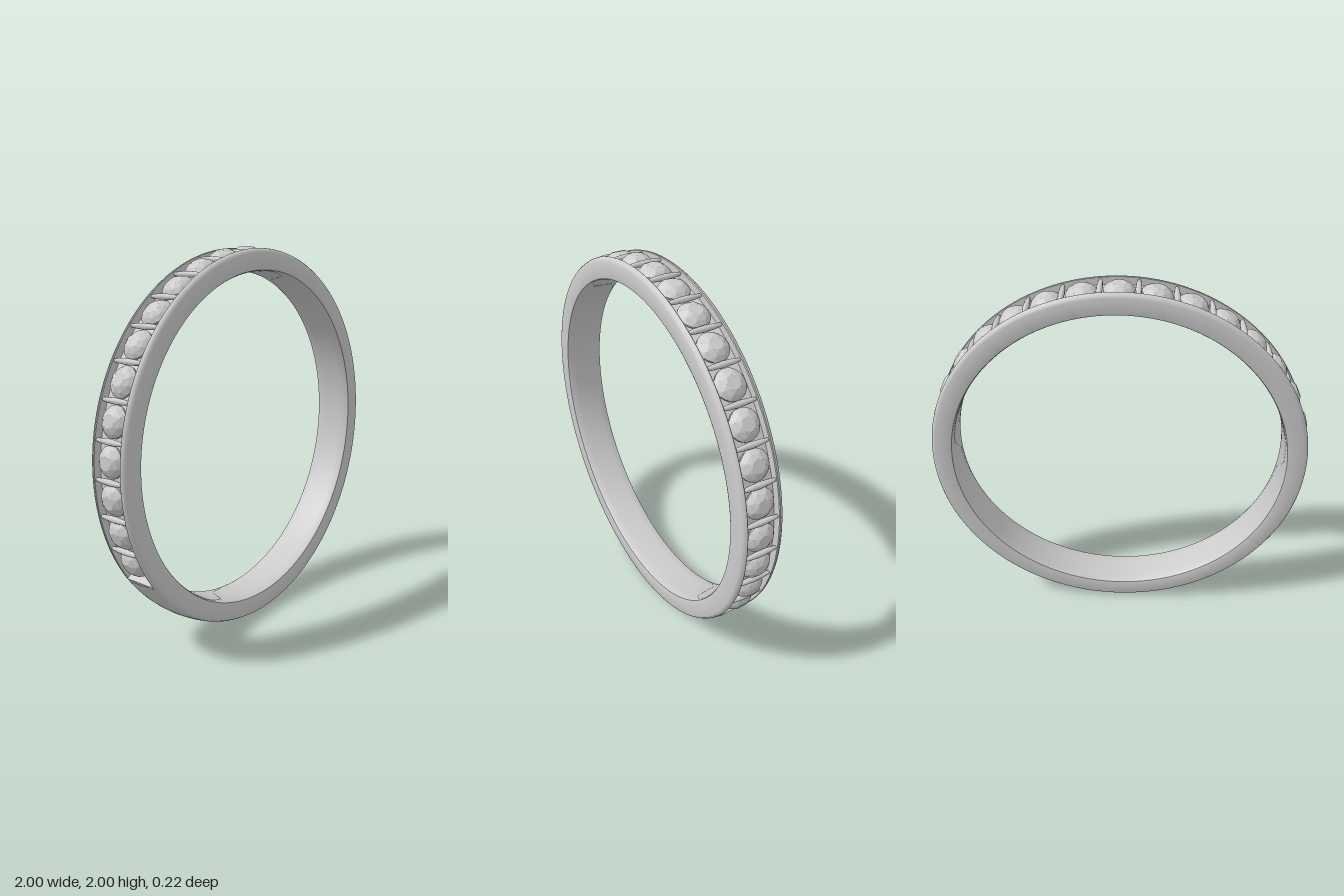
import * as THREE from 'three';
import { toCreasedNormals } from 'three/addons/utils/BufferGeometryUtils.js';
import { ConvexGeometry } from 'three/addons/geometries/ConvexGeometry.js';

const STONES = 23;
const STEP = THREE.MathUtils.degToRad(10.75);
const CHANNEL_END = THREE.MathUtils.degToRad(124.5); // measured from the top
const FLOOR = 0.95;

const grey = new THREE.MeshStandardMaterial({ color: 0xcccccc });
const facet = new THREE.MeshStandardMaterial({ color: 0xcccccc, flatShading: true });

// Sweep half a cross-section [radius, z], mirrored in z, round the finger axis; angle 0 is the top
function sweep(outerHalf, start, length, segments) {
  const innerHalf = [[0.97, 0.11], [0.893, 0.11], [0.884, 0.107], [0.879, 0.097], [0.876, 0.06], [0.875, 0]];
  const half = [...outerHalf, ...innerHalf];
  const mirrored = half.map(([r, z]) => [r, -z]).reverse();
  const points = [...half, ...mirrored.slice(1)];
  if (outerHalf[0][1] !== 0) points.push(half[0]);
  else points[points.length - 1] = half[0];
  const geo = new THREE.LatheGeometry(points.map(([r, z]) => new THREE.Vector2(r, z)), segments, start, length);
  geo.rotateX(-Math.PI / 2);
  return toCreasedNormals(geo, 0.75);
}

// Round cut stone: table, crown, girdle and pavilion point
function stoneGeometry() {
  const pts = [new THREE.Vector3(0, -0.05, 0)];
  const ring = (n, r, y, turn) => {
    for (let i = 0; i < n; i++) {
      const a = ((i + turn) / n) * Math.PI * 2;
      pts.push(new THREE.Vector3(r * Math.sin(a), y, r * Math.cos(a)));
    }
  };
  ring(24, 0.076, -0.008, 0);
  ring(24, 0.076, 0, 0);
  ring(8, 0.06, 0.02, 0.5);
  ring(8, 0.034, 0.034, 0);
  return new ConvexGeometry(pts);
}

// Divider bar: a spindle lying along z
function barGeometry() {
  const profile = [[0, -0.087], [0.008, -0.087], [0.013, -0.05], [0.016, 0], [0.013, 0.05], [0.008, 0.087], [0, 0.087]];
  const geo = new THREE.LatheGeometry(profile.map(([r, y]) => new THREE.Vector2(r, y)), 12);
  return geo.rotateX(Math.PI / 2);
}

export function createModel() {
  const model = new THREE.Group();
  const ring = new THREE.Group();
  ring.name = 'ring';
  ring.position.y = 1;
  model.add(ring);

  const add = (geo, mat, name, parent = ring) => {
    const mesh = new THREE.Mesh(geo, mat);
    mesh.name = name;
    parent.add(mesh);
    return mesh;
  };
  // Set a mesh on the band at an angle from the top
  const place = (mesh, angle, radius) => {
    mesh.position.set(radius * Math.sin(angle), radius * Math.cos(angle), 0);
    mesh.rotation.z = -angle;
  };

  // Band: plain domed shank below, channelled section with two rails above
  const plain = [[1, 0], [0.998, 0.04], [0.993, 0.075], [0.988, 0.095], [0.981, 0.106]];
  const channel = [[FLOOR, 0], [FLOOR, 0.084], [0.988, 0.084], [0.991, 0.088], [0.988, 0.097], [0.981, 0.106]];
  add(sweep(plain, CHANNEL_END, 2 * (Math.PI - CHANNEL_END), 60), grey, 'shank');
  add(sweep(channel, -CHANNEL_END, 2 * CHANNEL_END, 132), grey, 'channelBand');

  // Walls closing the two ends of the channel
  for (const side of [-1, 1]) {
    const wall = add(new THREE.BoxGeometry(0.02, 0.05, 0.17), grey, 'channelEndWall');
    place(wall, side * (CHANNEL_END + 0.0095), 0.967);
  }

  // Stones
  const stones = new THREE.Group();
  stones.name = 'stones';
  const stoneGeo = stoneGeometry();
  for (let i = 0; i < STONES; i++) {
    place(add(stoneGeo, facet, 'stone', stones), (i - (STONES - 1) / 2) * STEP, 0.965);
  }

  // Divider bars between neighbouring stones
  const bars = new THREE.Group();
  bars.name = 'dividerBars';
  const barGeo = barGeometry();
  for (let i = 0; i < STONES - 1; i++) {
    place(add(barGeo, grey, 'dividerBar', bars), (i - (STONES - 2) / 2) * STEP, 0.974);
  }
  ring.add(stones, bars);
  return model;
}
